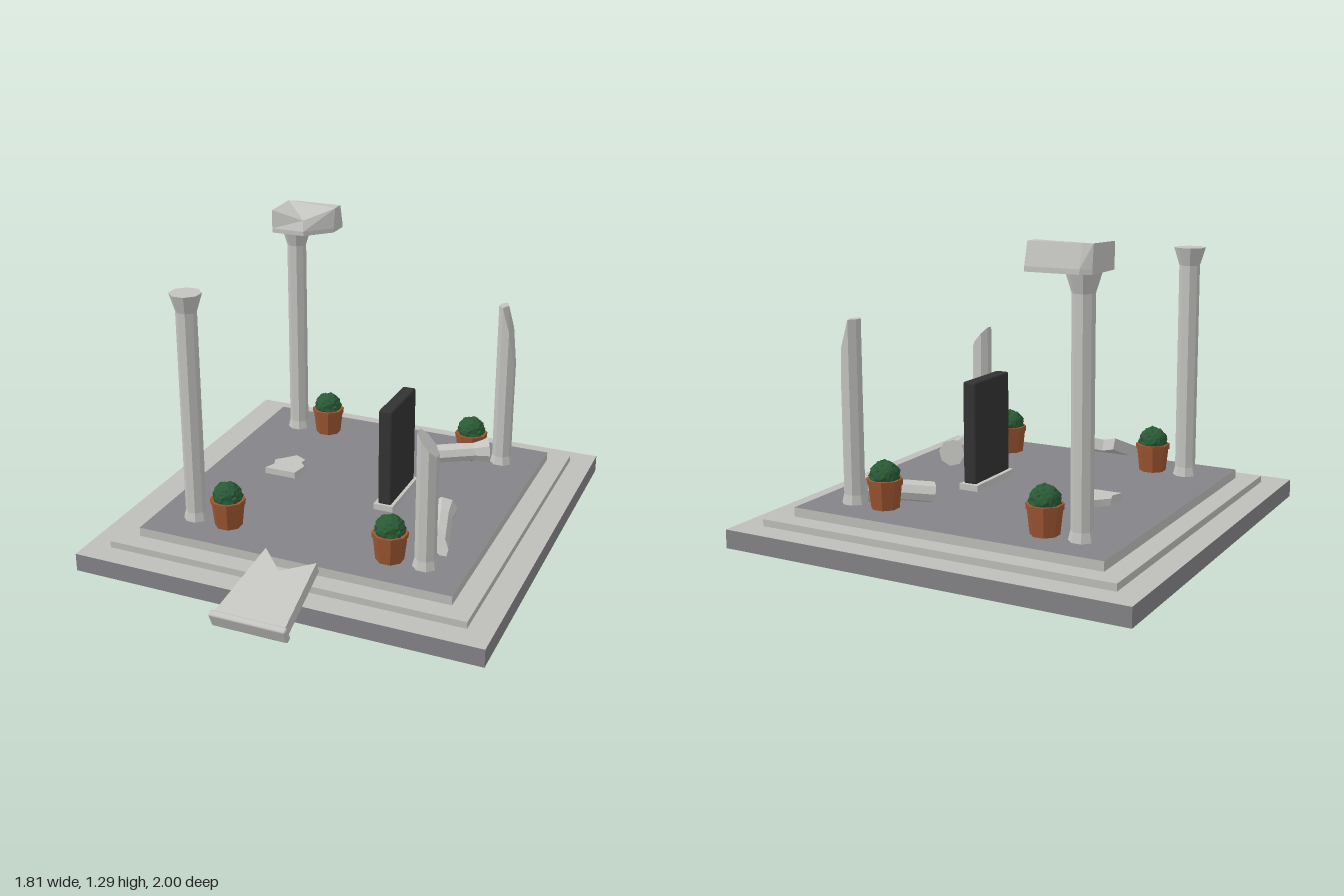
import * as THREE from 'three';
import { RoundedBoxGeometry } from 'three/addons/geometries/RoundedBoxGeometry.js';

const mat = (name, color) => {
  const m = new THREE.MeshStandardMaterial({ color });
  m.name = name;
  return m;
};

// Faceted version of a geometry
const flat = (geo) => {
  const g = geo.index ? geo.toNonIndexed() : geo;
  g.computeVertexNormals();
  return g;
};

// Closed solid from stacked rings of [x, y, z], counterclockwise from above
function loft(rings) {
  const n = rings[0].length, idx = [], last = (rings.length - 1) * n;
  for (let r = 0; r < rings.length - 1; r++)
    for (let i = 0; i < n; i++) {
      const a = r * n + i, b = r * n + (i + 1) % n;
      idx.push(a, b, b + n, a, b + n, a + n);
    }
  for (let i = 1; i < n - 1; i++) idx.push(0, i + 1, i, last, last + i, last + i + 1);
  const g = new THREE.BufferGeometry();
  g.setAttribute('position', new THREE.Float32BufferAttribute(rings.flat(2), 3));
  g.setIndex(idx);
  return flat(g);
}

// Flat slab from an outline
const slab = (pts, depth) => new THREE.ExtrudeGeometry(
  new THREE.Shape(pts.map(([x, y]) => new THREE.Vector2(x, y))), { depth, bevelEnabled: false });

export function createModel() {
  const model = new THREE.Group();
  const stone = mat('pale stone', 0xc3c3c0);
  const step = mat('step stone', 0xbdbdba);
  const dark = mat('dark paving', 0x848387);
  const black = mat('black panel', 0x333333);
  const clay = mat('terracotta', 0x9c5530);
  const green = mat('leaf green', 0x2a5a35);

  const add = (name, geo, material, x = 0, y = 0, z = 0, parent = model) => {
    const m = new THREE.Mesh(geo, material);
    m.name = name;
    m.position.set(x, y, z);
    parent.add(m);
    return m;
  };
  const box = (name, w, h, d, material, x, y, z) =>
    add(name, new THREE.BoxGeometry(w, h, d), material, x, y + h / 2, z);

  // Stepped platform with dark base sides and a dark floor
  const Z = -0.094;
  box('base', 1.814, 0.08, 1.814, [dark, dark, step, step, dark, dark], 0, 0, Z);
  box('middleStep', 1.6, 0.03, 1.6, step, 0, 0.08, Z);
  box('floorStep', 1.415, 0.04, 1.42, [step, step, dark, step, step, step], 0, 0.11, Z);

  // Eight-sided drum; an optional rule cut(x, z) reshapes the top into a break
  const drum = (name, r0, r1, y0, y1, parent, cut) => {
    const g = new THREE.CylinderGeometry(r1, r0, y1 - y0, 8);
    g.rotateY(Math.PI / 8);
    g.translate(0, (y0 + y1) / 2, 0);
    const p = g.attributes.position;
    if (cut) for (let i = 0; i < p.count; i++)
      if (p.getY(i) > y1 - 1e-4) p.setY(i, cut(p.getX(i), p.getZ(i)));
    add(name, flat(g), stone, 0, 0, 0, parent);
  };
  const R = 0.045;
  const column = (name, x, z, cut) => {
    const g = new THREE.Group();
    g.name = name;
    g.position.set(x, 0, z);
    model.add(g);
    drum('foot', 0.054, R, 0.15, 0.19, g);
    drum('shaft', R, R, 0.19, 1.1, g, cut);
    if (!cut) drum('capital', R, 0.069, 1.1, 1.178, g);
  };
  column('frontRightColumn', -0.53, 0.435);
  column('backRightColumn', -0.53, -0.625);
  column('frontBrokenColumn', 0.53, 0.435, (x) => 0.7 - x * 1.15);
  column('backBrokenColumn', 0.53, -0.625, (x) => (x < 0.005 ? 0.93 : 0.93 - x * 6.7));

  // Broken lintel block resting on the back column
  const foot = [[-0.6, -0.7], [-0.6, -0.508], [-0.44, -0.508], [-0.335, -0.62], [-0.335, -0.725], [-0.56, -0.725]];
  add('lintelFragment', loft([
    foot.map(([x, z]) => [x, 1.178, z]),
    foot.map(([x, z]) => [x, 1.198, z]),
    [[-0.6, 1.29, -0.69], [-0.6, 1.285, -0.51], [-0.45, 1.245, -0.53],
      [-0.335, 1.29, -0.64], [-0.335, 1.29, -0.7], [-0.56, 1.29, -0.7]],
  ]), stone);

  // Fallen column pieces, from capital end to broken tip
  const fallen = (name, from, to, cut) => {
    const a = new THREE.Vector3(...from), d = new THREE.Vector3(...to).sub(a);
    const g = new THREE.Group();
    g.name = name;
    g.position.copy(a);
    g.quaternion.setFromUnitVectors(new THREE.Vector3(0, 1, 0), d.clone().normalize());
    model.add(g);
    const len = d.length();
    drum('capital', 0.062, R, 0, 0.07, g);
    drum('shaft', R, R, 0.07, len, g, (x, z) => len + cut(x, z));
  };
  fallen('fallenColumnFront', [0.475, 0.212, 0.057], [0.545, 0.197, 0.318], (x) => x * 1.3);
  fallen('fallenColumnBack', [0.475, 0.212, -0.59], [0.24, 0.197, -0.48], (x, z) => -z * 0.5);

  // Loose flat rubble
  const rubble = slab([[-0.445, 0.07], [-0.295, 0.07], [-0.283, 0.15], [-0.31, 0.18],
    [-0.31, 0.215], [-0.365, 0.245], [-0.405, 0.2], [-0.44, 0.165], [-0.425, 0.12]], 0.03);
  rubble.rotateX(-Math.PI / 2);
  add('rubble', rubble, stone, 0, 0.15, 0);

  // Fallen slab leaning on the front steps, with a lip along its low end
  const lean = new THREE.Group();
  lean.name = 'leaningSlab';
  lean.position.set(0, 0.016, 0.976);
  lean.rotation.x = THREE.MathUtils.degToRad(23.5) - Math.PI / 2;
  model.add(lean);
  add('slab', slab([[-0.16, 0], [0.155, 0], [0.155, 0.35], [0.02, 0.275], [-0.08, 0.37]], 0.055),
    stone, 0, 0, 0, lean);
  add('slabLip', new RoundedBoxGeometry(0.335, 0.03, 0.074, 1, 0.008), stone, -0.002, 0.015, 0.026, lean);

  // Standing black panel on a low plinth
  box('plinth', 0.09, 0.027, 0.32, stone, 0.197, 0.15, -0.096);
  add('panel', new RoundedBoxGeometry(0.063, 0.45, 0.295, 2, 0.01), black, 0.199, 0.4, -0.094);

  // Potted shrubs with rough clipped foliage
  const leaf = new THREE.IcosahedronGeometry(0.063, 5);
  const p = leaf.attributes.position, v = new THREE.Vector3();
  for (let i = 0; i < p.count; i++) {
    v.fromBufferAttribute(p, i);
    const bump = Math.sin(v.x * 611 + 0.5) * Math.sin(v.y * 577 + 1) * Math.sin(v.z * 593 + 2);
    v.multiplyScalar(1 + 0.12 * bump);
    p.setXYZ(i, v.x, v.y, v.z);
  }
  flat(leaf);
  const pot = flat(new THREE.CylinderGeometry(0.072, 0.06, 0.11, 8).rotateY(Math.PI / 8));
  const rim = flat(new THREE.CylinderGeometry(0.077, 0.075, 0.025, 8).rotateY(Math.PI / 8));
  for (const x of [-0.37, 0.376]) for (const z of [0.437, -0.625]) {
    const g = new THREE.Group();
    g.name = 'pottedShrub';
    g.position.set(x, 0.15, z);
    model.add(g);
    add('pot', pot, clay, 0, 0.055, 0, g);
    add('potRim', rim, clay, 0, 0.112, 0, g);
    add('foliage', leaf, green, 0, 0.136, 0, g);
  }
  return model;
}
